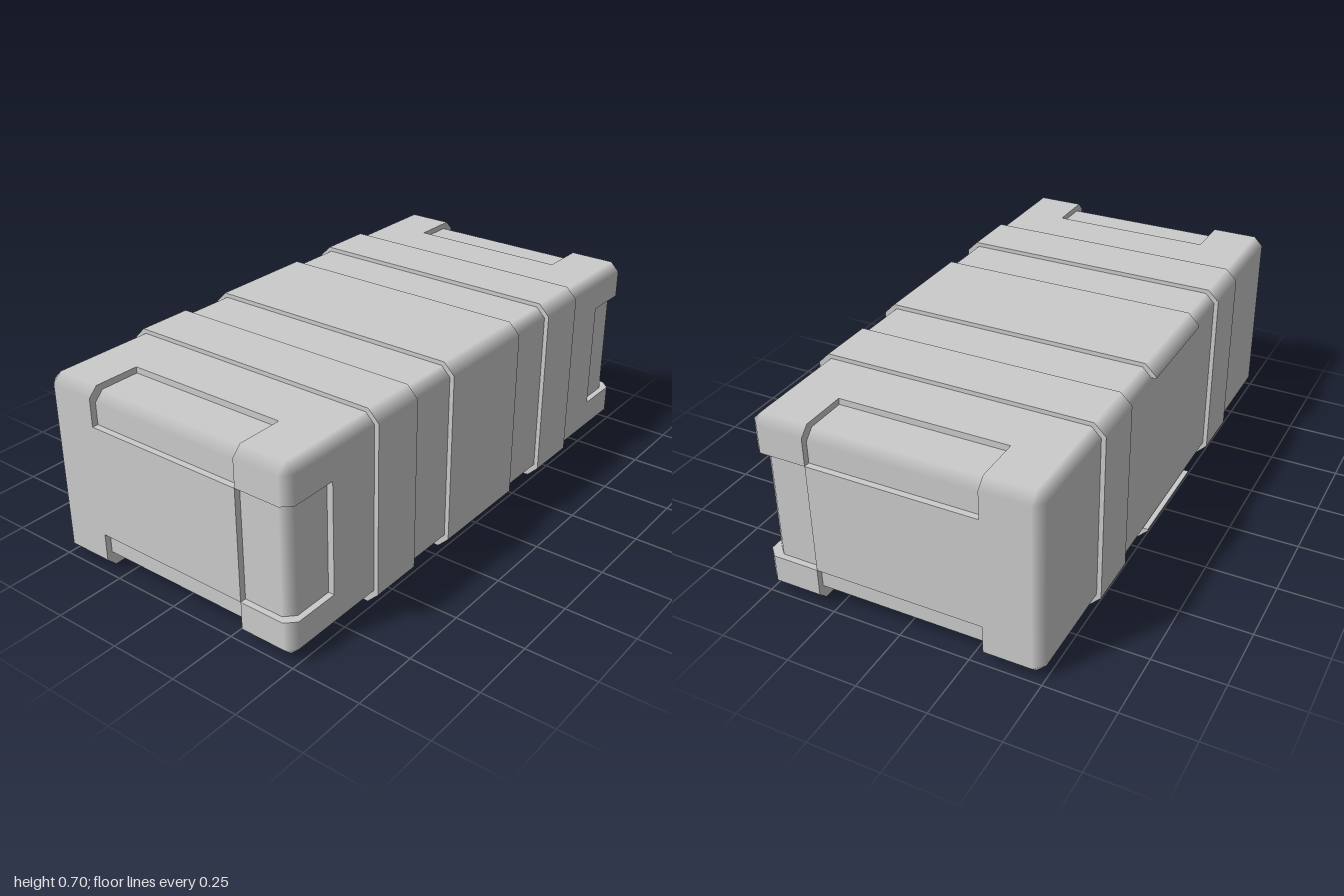
import * as THREE from 'three';
import { ConvexGeometry } from 'three/addons/geometries/ConvexGeometry.js';

const material = new THREE.MeshStandardMaterial({ color: 0xcccccc });
const AXES = [0, 1, 2];

// Axis-aligned piece of a chamfered box with half extents `half`: every edge
// lying on the outside of that box is bevelled, with softly shaded bevels.
function piece(name, half, chamfer, rangeX, rangeY, rangeZ) {
  const ranges = [rangeX, rangeY, rangeZ];
  const isOuter = (value, axis) => Math.abs(Math.abs(value) - half[axis]) < 1e-5;
  const points = [];
  for (const x of rangeX) for (const y of rangeY) for (const z of rangeZ) {
    const corner = [x, y, z];
    const outer = AXES.filter((a) => isOuter(corner[a], a));
    if (outer.length < 2) {
      points.push(new THREE.Vector3(...corner));
      continue;
    }
    for (const keep of outer) {
      const p = corner.map((v, a) =>
        outer.includes(a) && a !== keep ? v - Math.sign(v) * chamfer : v);
      points.push(new THREE.Vector3(...p));
    }
  }
  const geometry = new ConvexGeometry(points);

  // Bevel corners take the normal of the flat side they touch
  const pos = geometry.attributes.position;
  const normals = geometry.attributes.normal;
  for (let i = 0; i < pos.count; i++) {
    const n = [normals.getX(i), normals.getY(i), normals.getZ(i)];
    if (Math.max(...n.map(Math.abs)) > 0.99) continue;
    const p = [pos.getX(i), pos.getY(i), pos.getZ(i)];
    const axis = AXES.find((a) => isOuter(p[a], a));
    if (axis === undefined) continue;
    normals.setXYZ(i, ...AXES.map((a) => (a === axis ? Math.sign(p[a]) : 0)));
  }
  const mesh = new THREE.Mesh(geometry, material);
  mesh.name = name;
  return mesh;
}

export function createModel() {
  const model = new THREE.Group();
  model.name = 'crate';

  // Body: a slightly smaller core shows through the recesses in the shell
  const body = new THREE.Group();
  body.name = 'body';
  body.position.y = 0.352;
  model.add(body);

  const [W, H, D] = [0.5, 0.333, 1];
  const shell = [W, H, D];
  const bevel = 0.033;
  const core = shell.map((v) => v - 0.022);
  body.add(piece('recessedCore', core, bevel, ...core.map((v) => [-v, v])));
  body.add(piece('middleShell', shell, bevel, [-W, W], [-H, H], [-0.8, 0.8]));

  // Both ends: recesses are left open at the top, bottom and right edges
  for (const s of [-1, 1]) {
    const z = [s * 0.8, s * D];
    body.add(piece('plainEndColumn', shell, bevel, [-W, -0.3], [-H, H], z));
    body.add(piece('endPanel', shell, bevel, [-0.3, 0.3], [-0.2, 0.2], z));
    for (const t of [-1, 1]) {
      body.add(piece('cornerBlock', shell, bevel, [0.3, W], [t * 0.2, t * H], z));
    }
  }

  // Raised bands wrapped around the body
  const bands = new THREE.Group();
  bands.name = 'bands';
  bands.position.y = 0.35;
  model.add(bands);

  const [BW, BH] = [0.516, 0.35];
  const band = [BW, BH, Infinity];
  const bandBevel = 0.04;
  for (const s of [-1, 1]) {
    bands.add(piece('outerBand', band, bandBevel, [-BW, BW], [-BH, BH], [s * 0.4, s * 0.6]));
  }

  // The middle band is open on one side, ending in a lip above and below
  const middle = [-0.2, 0.2];
  bands.add(piece('middleBand', band, bandBevel, [-0.45, BW], [-BH, BH], middle));
  for (const t of [-1, 1]) {
    bands.add(piece('middleBandLip', band, bandBevel, [-BW, -0.45], [t * 0.303, t * BH], middle));
  }
  return model;
}
